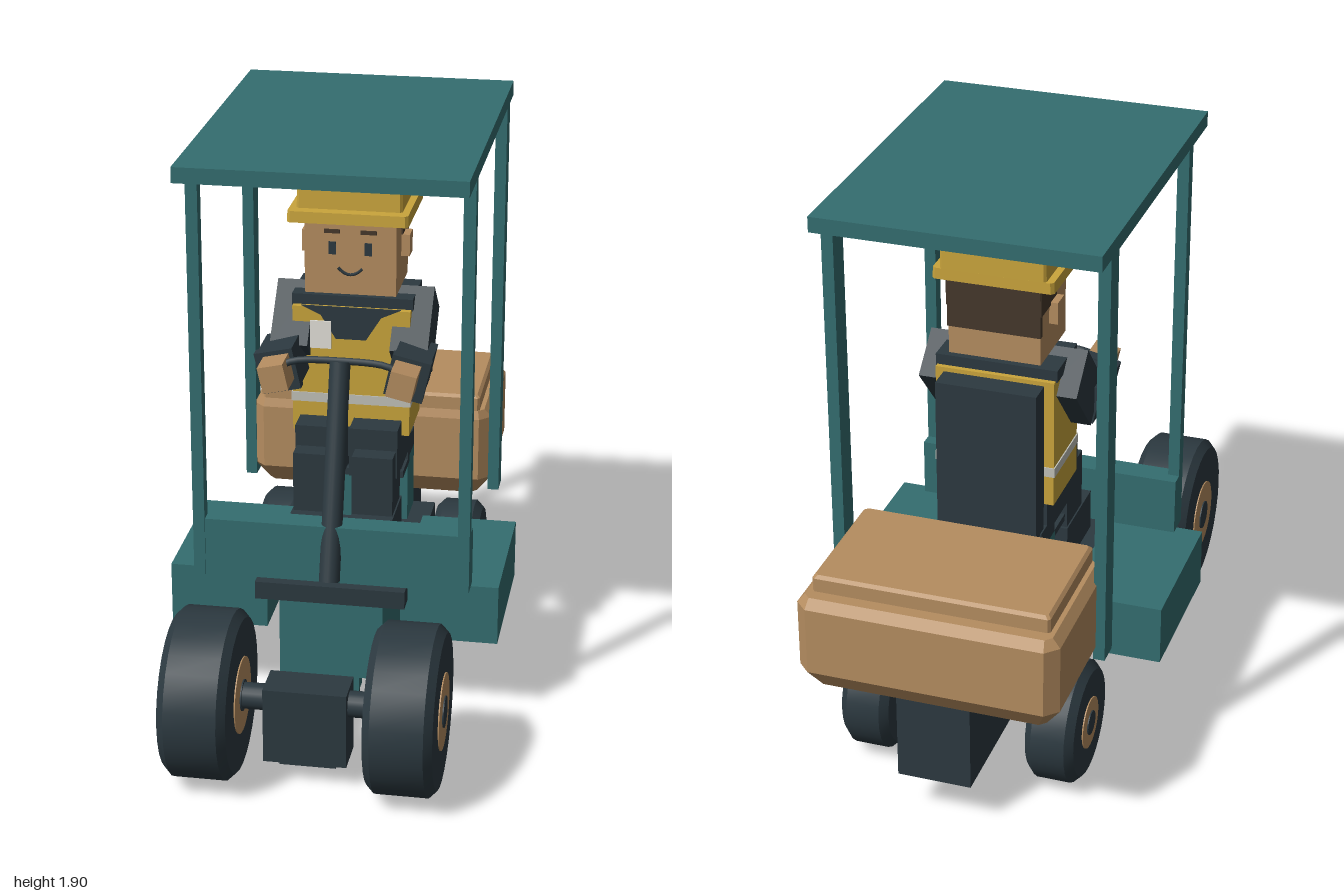
import * as THREE from 'three';
import { toCreasedNormals } from 'three/addons/utils/BufferGeometryUtils.js';
import { ConvexGeometry } from 'three/addons/geometries/ConvexGeometry.js';

const paint = (name, color) => {
  const m = new THREE.MeshStandardMaterial({ color });
  m.name = name;
  return m;
};

export function createModel() {
  const teal = paint('teal', 0x346e70);
  const dark = paint('charcoal', 0x2c3940);
  const tan = paint('tan', 0xb58d60);
  const yellow = paint('safety yellow', 0xcaa53c);
  const silver = paint('reflective grey', 0xc2c2ba);
  const white = paint('badge white', 0xe4e2da);
  const brown = paint('hair brown', 0x45382b);

  const model = new THREE.Group();
  const chassis = new THREE.Group();
  chassis.name = 'vehicle';
  const driver = new THREE.Group();
  driver.name = 'driver';
  model.add(chassis, driver);

  const add = (parent, name, geo, mat) => {
    const mesh = new THREE.Mesh(geo, mat);
    mesh.name = name;
    parent.add(mesh);
    return mesh;
  };
  // box given by its minimum and maximum on each axis
  const box = (parent, name, mat, x0, x1, y0, y1, z0, z1) => {
    const mesh = add(parent, name, new THREE.BoxGeometry(x1 - x0, y1 - y0, z1 - z0), mat);
    mesh.position.set((x0 + x1) / 2, (y0 + y1) / 2, (z0 + z1) / 2);
    return mesh;
  };
  // box centred on x = 0
  const mid = (parent, name, mat, hx, y0, y1, z0, z1) => box(parent, name, mat, -hx, hx, y0, y1, z0, z1);
  // matching boxes on both sides
  const pair = (parent, name, mat, x0, x1, ...rest) => {
    box(parent, name + 'Left', mat, x0, x1, ...rest);
    box(parent, name + 'Right', mat, -x1, -x0, ...rest);
  };
  const rod = (parent, name, mat, a, b, r, sides = 20) => {
    const p = new THREE.Vector3(...a), d = new THREE.Vector3(...b).sub(p);
    const mesh = add(parent, name, new THREE.CylinderGeometry(r, r, d.length(), sides), mat);
    mesh.position.copy(p).addScaledVector(d, 0.5);
    mesh.quaternion.setFromUnitVectors(new THREE.Vector3(0, 1, 0), d.normalize());
    return mesh;
  };
  // convex solid from stacked rectangles with cut corners: [y, half width, z0, z1, cut]
  const stack = (parent, name, mat, rings) => {
    const pts = [];
    for (const [y, hx, z0, z1, c] of rings)
      for (const s of [-1, 1])
        for (const [z, k] of [[z0, c], [z1, -c]])
          pts.push(new THREE.Vector3(s * (hx - c), y, z), new THREE.Vector3(s * hx, y, z + k));
    return add(parent, name, new ConvexGeometry(pts), mat);
  };

  // ---- wheels and axles ----
  const wheel = (name, x0, x1, y, z, r, hubR, capR) => {
    const w = x1 - x0, b = 0.025;
    const profile = [[0, -w / 2], [r - b, -w / 2], [r, -w / 2 + b], [r, w / 2 - b], [r - b, w / 2], [0, w / 2]]
      .map(p => new THREE.Vector2(...p));
    const g = new THREE.Group();
    g.name = name;
    add(g, 'tyre', toCreasedNormals(new THREE.LatheGeometry(profile, 28), 0.5), dark);
    add(g, 'hub', new THREE.CylinderGeometry(hubR, hubR, w + 0.008, 28), tan);
    add(g, 'hubCap', new THREE.CylinderGeometry(capR, capR, w + 0.016, 20), dark);
    g.rotation.z = -Math.PI / 2;
    g.position.set((x0 + x1) / 2, y, z);
    chassis.add(g);
  };
  wheel('frontWheelLeft', 0.21, 0.425, 0.275, 0.73, 0.27, 0.122, 0.05);
  wheel('frontWheelRight', -0.425, -0.21, 0.275, 0.73, 0.27, 0.122, 0.05);
  wheel('rearWheelLeft', 0.23, 0.39, 0.208, -0.54, 0.2, 0.085, 0.04);
  wheel('rearWheelRight', -0.39, -0.23, 0.208, -0.54, 0.2, 0.085, 0.04);
  rod(chassis, 'frontAxle', dark, [-0.25, 0.275, 0.73], [0.25, 0.275, 0.73], 0.042);
  rod(chassis, 'rearAxle', dark, [-0.25, 0.208, -0.54], [0.25, 0.208, -0.54], 0.035);
  mid(chassis, 'frontGearbox', dark, 0.132, 0.08, 0.33, 0.655, 0.79);
  mid(chassis, 'drawbar', dark, 0.09, 0.045, 0.085, 0.28, 0.74);
  mid(chassis, 'drawbarMount', teal, 0.09, 0.085, 0.15, 0.235, 0.3);

  // ---- body ----
  mid(chassis, 'keel', teal, 0.17, 0.145, 0.45, -0.265, 0.318);
  mid(chassis, 'deck', dark, 0.245, 0.42, 0.48, -0.375, 0.345);
  pair(chassis, 'sideStep', teal, 0.22, 0.54, 0.284, 0.485, -0.25, 0.27);
  mid(chassis, 'frontPanel', teal, 0.45, 0.485, 0.68, 0.235, 0.32);
  mid(chassis, 'rearChassis', dark, 0.12, 0.155, 0.475, -0.92, -0.26);
  stack(chassis, 'counterweight', tan, [
    [0.46, 0.37, -0.945, -0.53, 0.02], [0.53, 0.42, -0.995, -0.48, 0.04],
    [0.755, 0.42, -0.995, -0.48, 0.04], [0.785, 0.395, -0.97, -0.49, 0.02]]);
  stack(chassis, 'counterweightLid', tan, [
    [0.78, 0.38, -0.93, -0.49, 0.008], [0.83, 0.38, -0.93, -0.49, 0.008], [0.84, 0.37, -0.92, -0.5, 0.008]]);

  // ---- canopy ----
  mid(chassis, 'roof', teal, 0.45, 1.86, 1.91, -0.68, 0.5);
  pair(chassis, 'frontPost', teal, 0.412, 0.45, 0.485, 1.87, 0.28, 0.325);
  pair(chassis, 'rearPost', teal, 0.412, 0.45, 0.485, 1.87, -0.587, -0.508);

  // ---- seat and steering ----
  mid(chassis, 'seatBase', teal, 0.17, 0.47, 0.7, -0.365, -0.22);
  mid(chassis, 'seatPan', dark, 0.17, 0.678, 0.702, -0.36, -0.115);
  mid(chassis, 'seatCushion', dark, 0.17, 0.7, 0.765, -0.365, -0.225);
  mid(chassis, 'backrest', dark, 0.165, 0.76, 1.275, -0.405, -0.325);
  rod(chassis, 'steeringColumn', dark, [0, 0.5, 0.343], [0, 1.18, 0.135], 0.034);
  const grip = new THREE.CatmullRomCurve3([[-0.21, 1.15, 0.15], [-0.15, 1.175, 0.14], [0, 1.182, 0.135],
    [0.15, 1.175, 0.14], [0.21, 1.15, 0.15]].map(p => new THREE.Vector3(...p)));
  add(chassis, 'handlebar', new THREE.TubeGeometry(grip, 16, 0.012, 8), dark);

  // ---- legs ----
  pair(driver, 'boot', dark, 0.03, 0.17, 0.487, 0.628, -0.085, 0.18);
  pair(driver, 'shin', dark, 0.03, 0.165, 0.62, 0.832, -0.075, 0.09);
  pair(driver, 'knee', dark, 0.01, 0.17, 0.735, 0.903, -0.075, 0.022);
  pair(driver, 'thigh', dark, 0.01, 0.17, 0.73, 0.86, -0.24, -0.07);
  mid(driver, 'hips', dark, 0.17, 0.765, 0.87, -0.305, -0.07);

  // ---- torso ----
  mid(driver, 'vest', yellow, 0.195, 0.85, 1.285, -0.317, -0.073);
  mid(driver, 'vestStripe', silver, 0.199, 0.953, 0.985, -0.321, -0.069);
  mid(driver, 'shirtShoulders', dark, 0.2, 1.28, 1.32, -0.3, -0.095);
  const plate = (name, mat, pts, z) => {
    const s = new THREE.Shape(pts.map(p => new THREE.Vector2(...p)));
    const g = new THREE.ExtrudeGeometry(s, { depth: 0.006, bevelEnabled: false });
    add(driver, name, g, mat).position.z = z;
  };
  plate('shirtNeckline', dark, [[-0.05, 1.18], [0.05, 1.18], [0.1, 1.26], [0.165, 1.29], [-0.165, 1.29], [-0.1, 1.26]], -0.074);
  plate('badge', white, [[-0.135, 1.145], [-0.065, 1.145], [-0.065, 1.24], [-0.135, 1.24]], -0.07);

  // ---- arms ----
  for (const s of [-1, 1]) {
    const arm = new THREE.Group();
    arm.name = s > 0 ? 'leftArm' : 'rightArm';
    driver.add(arm);
    const upper = add(arm, 'upperArm', new THREE.BoxGeometry(0.125, 0.235, 0.165), dark);
    upper.position.set(s * 0.198, 1.2, -0.155);
    upper.rotation.x = -0.74;
    const fore = add(arm, 'forearm', new THREE.BoxGeometry(0.12, 0.13, 0.2), dark);
    fore.position.set(s * 0.212, 1.12, 0);
    const cuff = add(arm, 'cuff', new THREE.BoxGeometry(0.128, 0.14, 0.04), dark);
    cuff.position.set(s * 0.212, 1.12, 0.082);
    const hand = add(arm, 'hand', new THREE.BoxGeometry(0.085, 0.088, 0.115), tan);
    hand.position.set(s * 0.207, 1.133, 0.15);
    for (const m of [fore, cuff, hand]) m.rotation.z = -s * 0.22;
  }

  // ---- head ----
  mid(driver, 'neck', tan, 0.065, 1.31, 1.36, -0.25, -0.13);
  mid(driver, 'head', tan, 0.15, 1.34, 1.61, -0.315, -0.06);
  pair(driver, 'ear', tan, 0.145, 0.178, 1.445, 1.518, -0.23, -0.165);
  mid(driver, 'hairSides', brown, 0.155, 1.508, 1.6, -0.322, -0.167);
  mid(driver, 'hairBack', brown, 0.152, 1.435, 1.6, -0.323, -0.305);
  pair(driver, 'eye', dark, 0.047, 0.071, 1.475, 1.517, -0.062, -0.055);
  pair(driver, 'eyebrow', brown, 0.034, 0.086, 1.546, 1.559, -0.062, -0.055);
  const smile = new THREE.QuadraticBezierCurve3(new THREE.Vector3(-0.04, 1.43, -0.058),
    new THREE.Vector3(0, 1.385, -0.058), new THREE.Vector3(0.04, 1.43, -0.058));
  add(driver, 'smile', new THREE.TubeGeometry(smile, 10, 0.005, 6), dark);

  // ---- hard hat ----
  stack(driver, 'hatBrim', yellow, [[1.595, 0.197, -0.333, 0.005, 0.01], [1.632, 0.195, -0.333, 0.003, 0.01]]);
  stack(driver, 'hatShell', yellow, [[1.63, 0.172, -0.333, -0.036, 0.008], [1.765, 0.17, -0.332, -0.04, 0.008],
    [1.772, 0.162, -0.328, -0.047, 0.008]]);
  mid(driver, 'hatCrown', yellow, 0.132, 1.77, 1.792, -0.322, -0.055);
  mid(driver, 'hatRidge', yellow, 0.055, 1.785, 1.808, -0.318, -0.065);

  return model;
}
